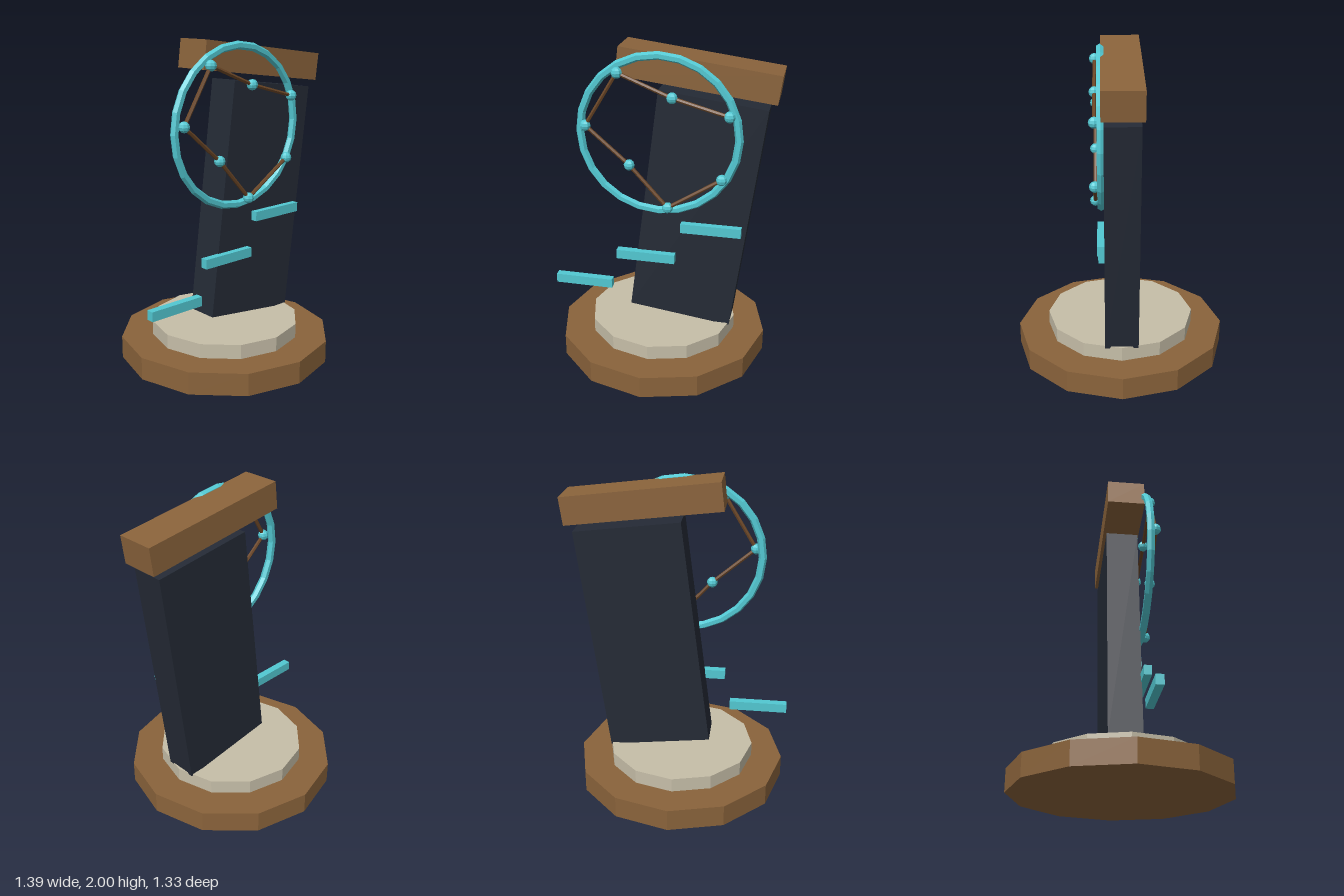
import * as THREE from 'three';

const material = (color) => {
  const m = new THREE.MeshStandardMaterial({ flatShading: true });
  m.color.set(color);
  return m;
};

export function createModel() {
  const model = new THREE.Group();
  model.name = 'trophy';
  const wood = material(0x8a633b);
  const darkWood = material(0x6b4626);
  const stone = material(0xc6bea8);
  const slate = material(0x242a35);
  const cyan = material(0x52c8d2);

  const add = (name, geometry, mat, x, y, z, parent = model) => {
    const mesh = new THREE.Mesh(geometry, mat);
    mesh.name = name;
    mesh.position.set(x, y, z);
    parent.add(mesh);
    return mesh;
  };

  // Two stacked twelve-sided discs
  add('basePlinth', new THREE.CylinderGeometry(0.667, 0.667, 0.14, 12), wood, -0.013, 0.07, 0);
  add('upperPlinth', new THREE.CylinderGeometry(0.47, 0.47, 0.09, 12), stone, -0.013, 0.185, 0);

  // Leaning slab with a cap beam at the same tilt
  const tilt = -0.126;
  add('slab', new THREE.BoxGeometry(0.65, 1.465, 0.205), slate, 0.207, 0.985, 0).rotation.z = tilt;
  add('capBeam', new THREE.BoxGeometry(0.952, 0.171, 0.236), wood, 0.2075, 1.855, 0).rotation.z = tilt;

  // Ring on the front face
  add('ring', new THREE.TorusGeometry(0.48, 0.025, 6, 24), cyan, -0.018, 1.48, 0.119);

  // Chain of beads joined by thin rods
  const chain = new THREE.Group();
  chain.name = 'beadChain';
  model.add(chain);
  const points = [
    [0.405, 1.635], [0.07, 1.725], [-0.255, 1.855], [-0.455, 1.525],
    [-0.19, 1.295], [0.045, 1.035], [0.37, 1.245],
  ].map(([x, y]) => new THREE.Vector3(x, y, 0.154));
  points.forEach((p, i) => {
    add('bead', new THREE.SphereGeometry(0.034, 8, 6), cyan, p.x, p.y, p.z, chain);
    if (i === 0) return;
    const d = p.clone().sub(points[i - 1]);
    const mid = p.clone().add(points[i - 1]).multiplyScalar(0.5);
    const rod = add('rod', new THREE.CylinderGeometry(0.012, 0.012, d.length(), 6), darkWood,
      mid.x, mid.y, mid.z, chain);
    rod.quaternion.setFromUnitVectors(new THREE.Vector3(0, 1, 0), d.normalize());
  });

  // Rising steps
  for (let i = 0; i < 3; i++) {
    add('step', new THREE.BoxGeometry(0.373, 0.06, 0.048), cyan, -0.511 + 0.41 * i, 0.45 + 0.2235 * i, 0.12);
  }
  return model;
}
